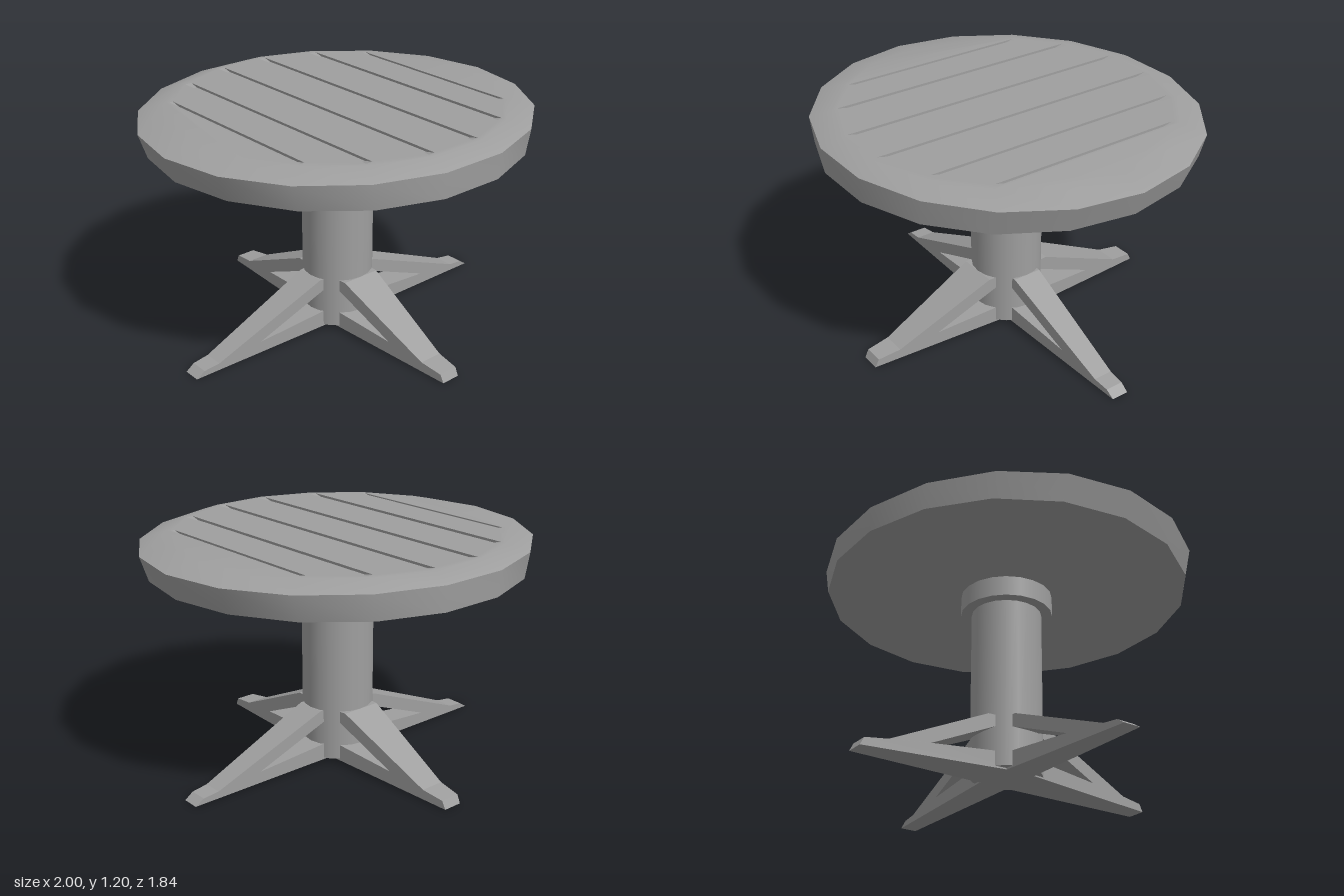
import * as THREE from 'three';
import { mergeGeometries, toCreasedNormals } from 'three/addons/utils/BufferGeometryUtils.js';

const SIDES = 18;
const TOP_Y = 1.195;
const GROOVE_DEPTH = 0.012;
const material = new THREE.MeshStandardMaterial({ color: 0x9f9f9f });
const openMaterial = new THREE.MeshStandardMaterial({ color: 0x9f9f9f, side: THREE.DoubleSide });

// Grooves in the top: x centre, half width, half length
const grooves = [-1, 1].flatMap((s) => [
  [s * 0.135, 0.018, 0.79],
  [s * 0.41, 0.018, 0.69],
  [s * 0.63, 0.01, 0.51],
]);

function addMesh(parent, name, geometry, mat = material) {
  const mesh = new THREE.Mesh(geometry, mat);
  mesh.name = name;
  parent.add(mesh);
  return mesh;
}

// Slightly oval rim: underside, flared side and shallow bevel
function rimGeometry() {
  const rings = [[0, 1.03, 1], [0.953, 1.03, 0.972], [1, 1.157, 0.934], [0.85, TOP_Y, 0.83 / 0.85]];
  const profile = rings.map(([r, y]) => new THREE.Vector2(r, y));
  const geo = new THREE.LatheGeometry(profile, SIDES, Math.PI / 2);
  const pos = geo.attributes.position;
  for (let i = 0; i < pos.count; i++) {
    pos.setZ(i, pos.getZ(i) * rings[i % rings.length][2]);
  }
  return geo;
}

// Flat upper face with a slot for each groove
function topFaceGeometry() {
  const outline = [];
  for (let i = 0; i < SIDES; i++) {
    const a = (i / SIDES) * Math.PI * 2;
    outline.push(new THREE.Vector2(0.85 * Math.cos(a), 0.83 * Math.sin(a)));
  }
  const shape = new THREE.Shape(outline);
  for (const [x, w, l] of grooves) {
    shape.holes.push(new THREE.Path([
      new THREE.Vector2(x - w, -l), new THREE.Vector2(x - w, l),
      new THREE.Vector2(x + w, l), new THREE.Vector2(x + w, -l),
    ]));
  }
  return new THREE.ShapeGeometry(shape).rotateX(-Math.PI / 2).translate(0, TOP_Y, 0);
}

// U-shaped channel whose floor ramps up at both ends
function grooveGeometry(x, w, l) {
  const positions = [];
  const index = [];
  const sections = [[-l, 0], [-l + 0.05, GROOVE_DEPTH], [l - 0.05, GROOVE_DEPTH], [l, 0]];
  sections.forEach(([z, depth], s) => {
    positions.push(x - w, TOP_Y, z, x - w, TOP_Y - depth, z);
    positions.push(x + w, TOP_Y - depth, z, x + w, TOP_Y, z);
    if (s === 0) return;
    for (let k = 0; k < 3; k++) {
      const a = (s - 1) * 4 + k;
      const b = s * 4 + k;
      index.push(a, b, a + 1, a + 1, b, b + 1);
    }
  });
  const geo = new THREE.BufferGeometry();
  geo.setAttribute('position', new THREE.Float32BufferAttribute(positions, 3));
  geo.setIndex(index);
  const flat = geo.toNonIndexed();
  flat.computeVertexNormals();
  return flat;
}

// Braced leg pointing along +x: side profile with a triangular opening,
// narrowing from the column to the foot
function legGeometry(outline, opening, innerHalf, tipHalf) {
  const points = (list) => list.map(([r, y]) => new THREE.Vector2(r, y));
  const shape = new THREE.Shape(points(outline));
  shape.holes.push(new THREE.Path(points(opening)));
  const geo = new THREE.ExtrudeGeometry(shape, { depth: 2, bevelEnabled: false });
  geo.translate(0, 0, -1);
  const pos = geo.attributes.position;
  const reach = outline[1][0];
  for (let i = 0; i < pos.count; i++) {
    const t = (pos.getX(i) - 0.14) / (reach - 0.14);
    pos.setZ(i, pos.getZ(i) * THREE.MathUtils.lerp(innerHalf, tipHalf, t));
  }
  geo.computeVertexNormals();
  return geo;
}

export function createModel() {
  const table = new THREE.Group();
  table.name = 'table';

  // Tabletop: rim and upper face share smooth normals across the bevel
  const top = new THREE.Group();
  top.name = 'tabletop';
  table.add(top);
  addMesh(top, 'slab', toCreasedNormals(mergeGeometries([rimGeometry(), topFaceGeometry()]), 0.5));
  for (const g of grooves) addMesh(top, 'groove', grooveGeometry(...g), openMaterial);

  // Column and the collar beneath the top
  addMesh(table, 'collar', new THREE.CylinderGeometry(0.238, 0.238, 0.115, 20).translate(0, 0.9805, 0));
  addMesh(table, 'column', new THREE.CylinderGeometry(0.182, 0.182, 0.92, 20).translate(0, 0.49, 0));

  // Longer, slimmer legs to the sides; shorter, wider ones to front and back
  const sideLeg = legGeometry(
    [[0, 0.025], [0.93, 0], [0.885, 0.03], [0.8, 0.04], [0.182, 0.293], [0, 0.293]],
    [[0.1, 0.255], [0.555, 0.07], [0.1, 0.113]], 0.08, 0.045);
  const endLeg = legGeometry(
    [[0, 0.025], [0.84, 0], [0.82, 0.04], [0.7, 0.055], [0.182, 0.293], [0, 0.293]],
    [[0.08, 0.262], [0.485, 0.078], [0.08, 0.112]], 0.11, 0.05);
  ['leftLeg', 'backLeg', 'rightLeg', 'frontLeg'].forEach((name, i) => {
    addMesh(table, name, i % 2 ? endLeg : sideLeg).rotation.y = (i * Math.PI) / 2;
  });

  return table;
}
